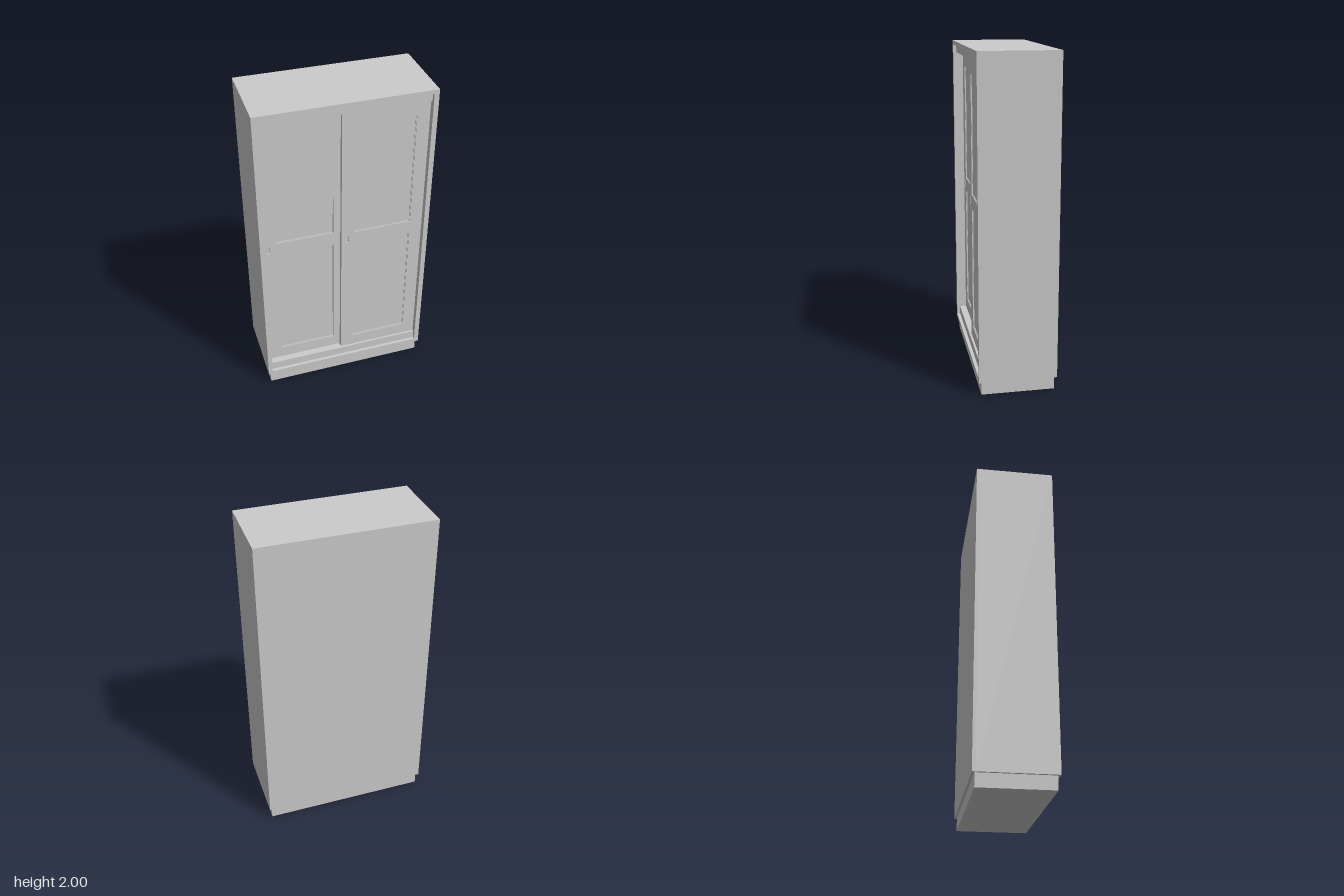
import * as THREE from 'three';

const material = new THREE.MeshStandardMaterial({ color: 0xcccccc });

function mesh(geometry, name) {
  const m = new THREE.Mesh(geometry, material);
  m.name = name;
  return m;
}

// Box given by its x, y and z ranges
function box(name, [x0, x1], [y0, y1], [z0, z1]) {
  const m = mesh(new THREE.BoxGeometry(x1 - x0, y1 - y0, z1 - z0), name);
  m.position.set((x0 + x1) / 2, (y0 + y1) / 2, (z0 + z1) / 2);
  return m;
}

function rectangle(target, [x0, x1], [y0, y1]) {
  target.moveTo(x0, y0);
  target.lineTo(x1, y0);
  target.lineTo(x1, y1);
  target.lineTo(x0, y1);
  target.closePath();
  return target;
}

// Flat board with rectangular openings, extruded over a z range
function board(name, x, y, [z0, z1], openings) {
  const shape = rectangle(new THREE.Shape(), x, y);
  for (const o of openings) shape.holes.push(rectangle(new THREE.Path(), o.x, o.y));
  const m = mesh(new THREE.ExtrudeGeometry(shape, { depth: z1 - z0, bevelEnabled: false }), name);
  m.position.z = z0;
  return m;
}

const inset = ([a, b], d) => [a + d, b - d];

// Sliding door: frame, two recessed panels with a thin moulding, sunken pull
function createDoor(name, xLeft, front) {
  const door = new THREE.Group();
  door.name = name;
  const back = front - 0.024;
  const panelX = [xLeft + 0.078, xLeft + 0.438];
  const panels = [[0.24, 1.015], [1.105, 1.84]].map((y) => ({ x: panelX, y }));
  const pull = { x: [xLeft + 0.025, xLeft + 0.049], y: [1.03, 1.09] };

  door.add(board('doorFrame', [xLeft, xLeft + 0.515], [0.15, 1.935], [back, front], [...panels, pull]));
  for (const p of panels) {
    const inner = { x: inset(p.x, 0.005), y: inset(p.y, 0.005) };
    door.add(board('panelMoulding', p.x, p.y, [back, front - 0.004], [inner]));
    door.add(box('doorPanel', inner.x, inner.y, [back, front - 0.008]));
  }
  const cup = { x: inset(pull.x, 0.005), y: inset(pull.y, 0.005) };
  door.add(board('pullRim', pull.x, pull.y, [back, front + 0.001], [cup]));
  door.add(box('pullCup', cup.x, cup.y, [back, front - 0.012]));
  return door;
}

export function createModel() {
  const cabinet = new THREE.Group();
  cabinet.name = 'slidingDoorCabinet';

  // Carcass and base
  const opening = { x: [-0.498, 0.495], y: [0.105, 1.975] };
  cabinet.add(board('carcass', [-0.525, 0.525], [0.08, 2], [-0.215, 0.235], [opening]));
  cabinet.add(box('backPanel', [-0.525, 0.525], [0.08, 2], [-0.235, -0.215]));
  cabinet.add(box('plinth', [-0.51, 0.51], [0, 0.08], [-0.22, 0.22]));

  // Track covers above and below the doors
  cabinet.add(box('bottomTrack', opening.x, [0.105, 0.16], [0.13, 0.215]));
  cabinet.add(box('topTrack', opening.x, [1.925, 1.975], [0.13, 0.215]));

  // Rear door on one track, front door overlapping it on the other
  cabinet.add(createDoor('rearSlidingDoor', -0.498, 0.173));
  cabinet.add(createDoor('frontSlidingDoor', -0.021, 0.202));

  return cabinet;
}
